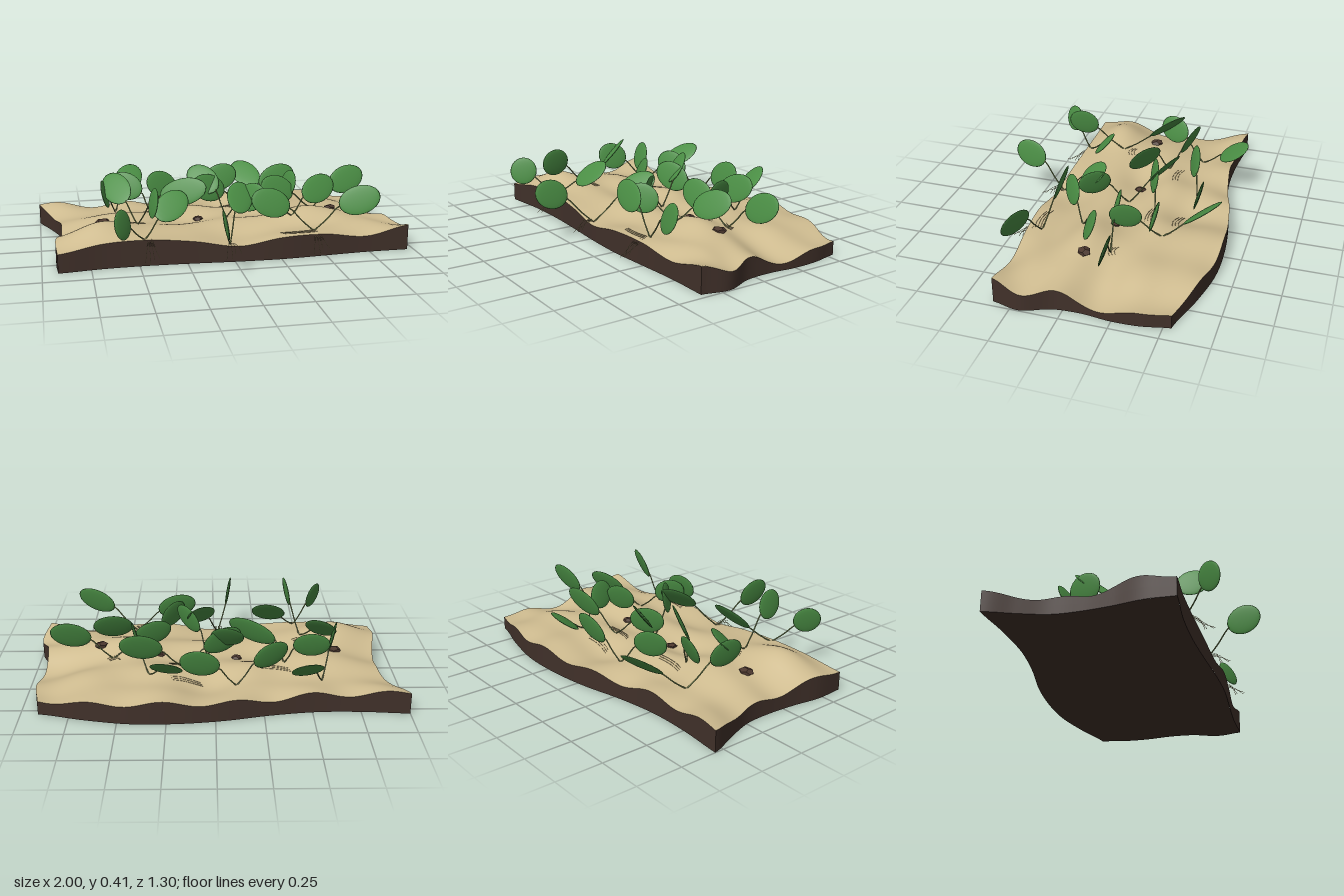
import * as THREE from 'three';
import { mergeGeometries } from 'three/addons/utils/BufferGeometryUtils.js';

const mat = (name, color) => Object.assign(new THREE.MeshStandardMaterial({ color }), { name });
const V = (x, y, z) => new THREE.Vector3(x, y, z);
const lerp = THREE.MathUtils.lerp;

// Smooth interpolation through evenly spaced values, t in 0..1
function smooth(a, t) {
  const n = a.length - 1;
  const f = THREE.MathUtils.clamp(t, 0, 1) * n;
  const i = Math.min(Math.floor(f), n - 1), k = f - i;
  const p0 = a[Math.max(i - 1, 0)], p1 = a[i], p2 = a[i + 1], p3 = a[Math.min(i + 2, n)];
  return p1 + 0.5 * k * (p2 - p0 + k * (2 * p0 - 5 * p1 + 4 * p2 - p3 + k * (3 * (p1 - p2) + p3 - p0)));
}

// Outline of the plot: z along the back and front, x along the left and right sides
const backZ = [-0.55, -0.53, -0.53, -0.565, -0.62, -0.65, -0.65, -0.605, -0.54];
const frontZ = [0.38, 0.355, 0.35, 0.36, 0.375, 0.38, 0.365, 0.35, 0.35];
const westX = [-1, -0.94, -0.89, -0.885, -0.9, -0.925, -0.92];
const eastX = [0.91, 0.94, 0.945, 0.93, 0.94, 0.995, 0.965];

// Ground heights, rows from back to front
const heights = [
  [0.12, 0.10, 0.10, 0.09, 0.10, 0.11, 0.11, 0.09, 0.08],
  [0.08, 0.11, 0.10, 0.12, 0.09, 0.12, 0.13, 0.10, 0.07],
  [0.08, 0.12, 0.11, 0.13, 0.11, 0.13, 0.12, 0.10, 0.05],
  [0.07, 0.14, 0.15, 0.11, 0.13, 0.12, 0.15, 0.10, 0.055],
  [0.10, 0.16, 0.14, 0.12, 0.13, 0.13, 0.17, 0.13, 0.11],
  [0.12, 0.195, 0.15, 0.13, 0.10, 0.12, 0.13, 0.14, 0.095],
  [0.10, 0.135, 0.14, 0.12, 0.085, 0.12, 0.12, 0.09, 0.14],
];

// Ground point for s (left to right) and t (back to front), with gentle ripples
function ground(s, t) {
  const x = lerp(smooth(westX, t), smooth(eastX, t), s);
  const z = lerp(smooth(backZ, s), smooth(frontZ, s), t);
  const ripple = 0.013 * Math.sin(19 * z + 2 * x) * Math.sin(Math.PI * t)
    + 0.014 * Math.cos(16.5 * (x - 0.27)) * (1 - t) ** 2;
  return V(x, smooth(heights.map((row) => smooth(row, s)), t) + ripple, z);
}

// Ground height at x, z
function groundY(x, z) {
  let s = 0.5, t = 0.5;
  for (let i = 0; i < 4; i++) {
    const w = smooth(westX, t), e = smooth(eastX, t);
    s = THREE.MathUtils.clamp((x - w) / (e - w), 0, 1);
    const b = smooth(backZ, s), f = smooth(frontZ, s);
    t = THREE.MathUtils.clamp((z - b) / (f - b), 0, 1);
  }
  return ground(s, t).y;
}

// Grid surface from a rule fn(u, v)
function patch(nu, nv, fn) {
  const pos = [], idx = [];
  for (let j = 0; j <= nv; j++)
    for (let i = 0; i <= nu; i++) pos.push(...fn(i / nu, j / nv).toArray());
  for (let j = 0; j < nv; j++)
    for (let i = 0; i < nu; i++) {
      const a = j * (nu + 1) + i, b = a + nu + 1;
      idx.push(a, b, a + 1, b, b + 1, a + 1);
    }
  const g = new THREE.BufferGeometry();
  g.setAttribute('position', new THREE.Float32BufferAttribute(pos, 3));
  g.setIndex(idx);
  g.computeVertexNormals();
  return g;
}

// Leaves in pairs: stem end x, z, tip x, z, width seen from above, centre height
const sprouts = [
  [[-0.52, -0.47, -0.41, -0.64, 0.145, 0.25], [-0.61, -0.24, -0.66, -0.08, 0.05, 0.26]],
  [[-0.2, -0.395, -0.38, -0.335, 0.055, 0.25], [-0.02, -0.455, 0.18, -0.485, 0.055, 0.25]],
  [[0.3, -0.44, 0.2, -0.62, 0.15, 0.25], [0.4, -0.24, 0.45, -0.09, 0.05, 0.27]],
  [[0.28, -0.28, 0.5, -0.335, 0.06, 0.27], [0.06, -0.225, -0.14, -0.16, 0.05, 0.26]],
  [[-0.42, -0.25, -0.6, -0.32, 0.07, 0.27], [-0.33, -0.14, -0.08, -0.04, 0.07, 0.27]],
  [[-0.53, -0.03, -0.62, -0.22, 0.13, 0.3], [-0.44, 0.27, -0.41, 0.43, 0.04, 0.335]],
  [[0, -0.17, -0.13, -0.31, 0.12, 0.3], [0.08, 0.03, 0.21, 0.16, 0.05, 0.27]],
  [[0.67, -0.145, 0.88, -0.185, 0.06, 0.28], [0.44, -0.105, 0.24, -0.075, 0.06, 0.26]],
  [[0.46, 0.03, 0.66, -0.065, 0.08, 0.27], [0.3, 0.14, 0.17, 0.24, 0.05, 0.26]],
  [[0.03, 0.21, 0.12, 0.04, 0.13, 0.28], [-0.075, 0.47, -0.1, 0.645, 0.04, 0.26]],
  [[-0.39, 0.24, -0.23, 0.13, 0.13, 0.27], [-0.55, 0.42, -0.64, 0.52, 0.05, 0.265]],
  [[0.32, 0.265, 0.11, 0.26, 0.06, 0.28], [0.58, 0.31, 0.79, 0.36, 0.06, 0.29]],
];

// Thin rounded leaf, rolled about its own length, its upper edge leaning back
function leafGeometry(base, tip, width) {
  const full = 0.155;
  const along = tip.clone().sub(base);
  const length = along.length();
  along.normalize();
  const flat = V(-along.z, 0, along.x).normalize();
  if (flat.z > 0) flat.negate();
  const up = along.clone().cross(flat);
  if (up.y < 0) up.negate();
  const c = Math.min(1, Math.max(0, width - 0.012) / full);
  const side = flat.multiplyScalar(c).addScaledVector(up, Math.sqrt(1 - c * c));
  const normal = along.clone().cross(side);
  const g = new THREE.SphereGeometry(1, 20, 12).scale(length / 2, full / 2, 0.009);
  g.applyMatrix4(new THREE.Matrix4().makeBasis(along, side, normal));
  const mid = base.clone().lerp(tip, 0.5);
  return g.translate(mid.x, mid.y, mid.z);
}

const tube = (points, r, n = 8) => new THREE.TubeGeometry(new THREE.CatmullRomCurve3(points), n, r, 5);

export function createModel() {
  const model = new THREE.Group();
  model.name = 'seedlingPlot';
  const sand = mat('sand', 0xcfbc90);
  const soil = mat('dark soil', 0x41312a);
  const leafGreen = mat('leaf green', 0x4b8f45);
  const stemGreen = mat('stem green', 0x7d8f58);
  const rootTan = mat('root tan', 0xa5966c);
  const pebbleBrown = mat('pebble brown', 0x4c382f);
  const add = (parent, name, geometry, material) => {
    const m = new THREE.Mesh(geometry, material);
    m.name = name;
    parent.add(m);
    return m;
  };

  // Rolling sand surface
  add(model, 'sandSurface', patch(80, 48, ground), sand);

  // Soil walls and underside
  const edges = [(u) => [u, 1], (u) => [1, 1 - u], (u) => [1 - u, 0], (u) => [0, u]];
  const walls = edges.map((edge, i) => patch(i % 2 ? 48 : 80, 2, (u, v) => {
    const p = ground(...edge(u));
    p.y *= 1 - v;
    return p;
  }));
  const underside = patch(40, 24, (u, v) => ground(1 - u, v).setY(0));
  add(model, 'soilBlock', mergeGeometries([...walls, underside]), soil);

  // Seedlings: two stems from one root point, with a leaf on each
  sprouts.forEach((pair, n) => {
    const plant = new THREE.Group();
    plant.name = `seedling${n + 1}`;
    model.add(plant);
    const nx = (pair[0][0] + pair[1][0]) / 2, nz = Math.min(0.36, (pair[0][1] + pair[1][1]) / 2);
    const node = V(nx, groundY(nx, nz) - 0.005, nz);
    for (const [x0, z0, x1, z1, w, y] of pair) {
      const rise = w > 0.1 ? 0.055 : 0.035;
      const base = V(x0, y - rise, z0), tip = V(x1, y + rise, z1);
      const bend = node.clone().lerp(base, 0.5).add(V(0, -0.006, 0));
      const inner = base.clone().lerp(tip, 0.15);
      add(plant, 'stem', tube([node, bend, base, inner], 0.0038), stemGreen);
      add(plant, 'leaf', leafGeometry(base, tip, w), leafGreen);
    }
  });

  // Fine roots trailing along the sand: centre x, z and length
  for (const [x, z, len] of [[-0.32, -0.25, 0.16], [0.15, -0.37, 0.16], [0.16, -0.22, 0.16],
    [0.36, 0.325, 0.18], [-0.48, 0.07, 0.07], [0.55, -0.13, 0.06]]) {
    const strands = [-1, 0, 1].map((k) => tube([-0.5, -0.2, 0.15, 0.5].map((f) => {
      const px = x + f * len + k * 0.008, pz = z + k * 0.014 - f * f * 0.05;
      return V(px, groundY(px, pz) + 0.002, pz);
    }), 0.0013));
    add(model, 'trailingRoots', mergeGeometries(strands), rootTan);
  }

  // Fine roots hanging over the front edge
  for (const x of [-0.445, -0.02, 0.45]) {
    const strands = [-1.5, -0.5, 0.5, 1.5].map((k, i) => tube([
      V(x + k * 0.006, groundY(x, 0.34), 0.34),
      V(x + k * 0.015, 0.1, 0.39),
      V(x + k * 0.024, 0.03 + i * 0.014, 0.42 + (i % 2) * 0.04)], 0.0012));
    add(model, 'hangingRoots', mergeGeometries(strands), rootTan);
  }

  // Pebbles half sunk in the sand
  [[-0.66, -0.04, 0.045], [-0.12, -0.09, 0.036], [0.3, -0.07, 0.032], [0.63, -0.01, 0.042]].forEach(([x, z, r], i) => {
    const g = new THREE.DodecahedronGeometry(r).scale(1, 0.5, 0.85);
    const pebble = add(model, 'pebble', g, pebbleBrown);
    pebble.position.set(x, groundY(x, z), z);
    pebble.rotation.y = i * 1.3;
  });
  return model;
}
